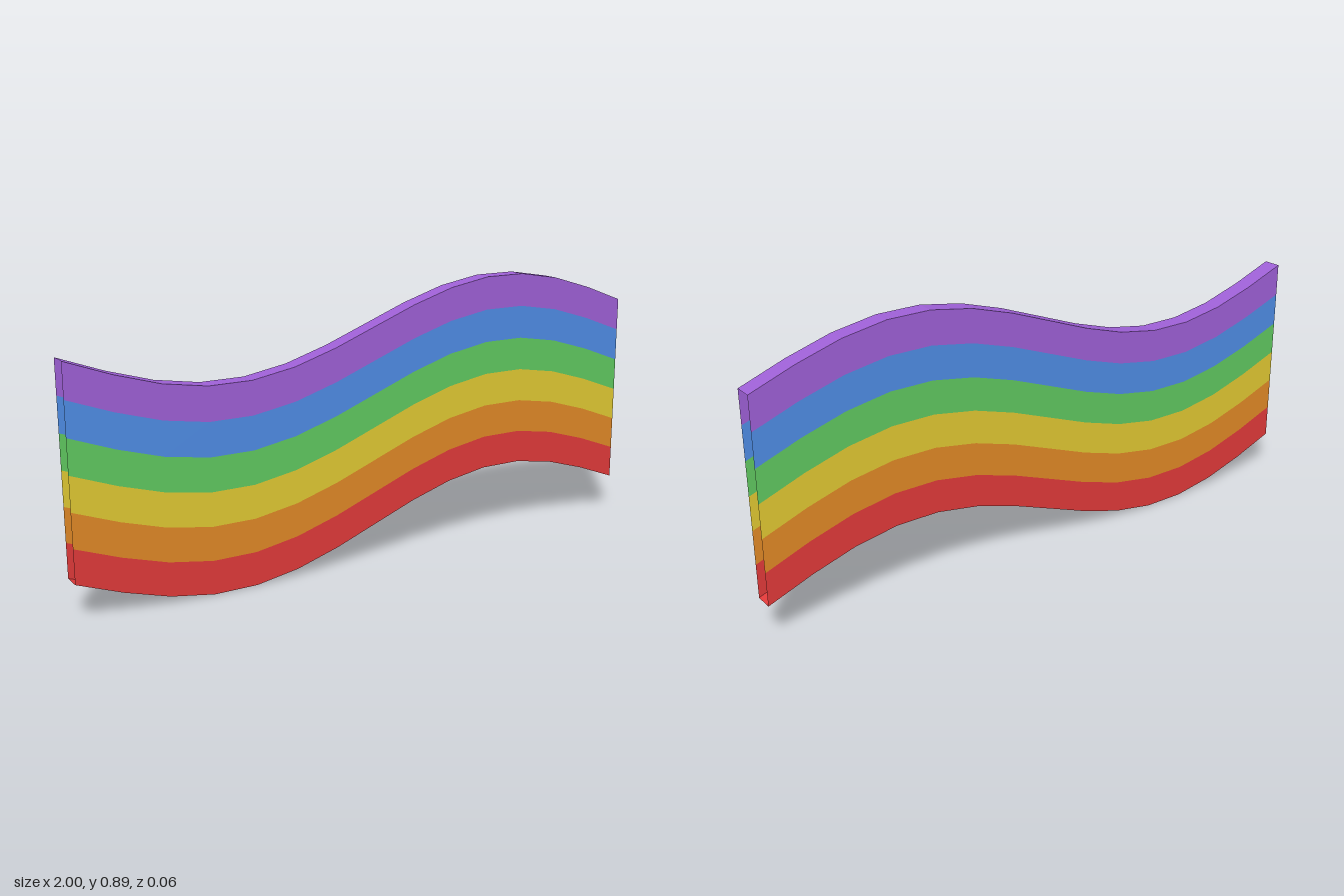
import * as THREE from 'three';

const SEGMENTS = 14, HALF_DEPTH = 0.03, BAND = 0.1075;
const AMPLITUDE = 0.124, BASE = 0.121;

// Height of the wave's lower edge at x
const wave = (x) => BASE + AMPLITUDE * Math.sin(Math.PI * x);

// Strip of flat facets between two rails; the first rail is the lower one seen from outside
function strip(railA, railB) {
  const positions = [];
  for (let i = 0; i < SEGMENTS; i++) {
    const x0 = -1 + (2 * i) / SEGMENTS, x1 = -1 + (2 * (i + 1)) / SEGMENTS;
    const a = railA(x0), b = railA(x1), c = railB(x1), d = railB(x0);
    positions.push(...a, ...b, ...c, ...a, ...c, ...d);
  }
  const geometry = new THREE.BufferGeometry();
  geometry.setAttribute('position', new THREE.Float32BufferAttribute(positions, 3));
  geometry.computeVertexNormals();
  return geometry;
}

export function createModel() {
  const group = new THREE.Group();
  group.name = 'wavyRainbow';
  const colours = [
    ['red', 0xe03a3a], ['orange', 0xe08826], ['yellow', 0xe0c832],
    ['green', 0x60c860], ['blue', 0x4e8ce4], ['purple', 0x9e60d6],
  ];
  const rail = (height, z) => (x) => [x, wave(x) + height, z];

  colours.forEach(([name, color], i) => {
    const material = new THREE.MeshStandardMaterial({ color, side: THREE.DoubleSide });
    material.name = name;
    const band = new THREE.Group();
    band.name = name + 'Band';
    const add = (part, railA, railB) => {
      const mesh = new THREE.Mesh(strip(railA, railB), material);
      mesh.name = name + part;
      band.add(mesh);
    };
    const low = i * BAND, high = low + BAND, d = HALF_DEPTH;

    // Front and back faces; the two ends of the ribbon stay open
    add('Front', rail(low, d), rail(high, d));
    add('Back', rail(high, -d), rail(low, -d));

    // Outer edges close the bottom and top of the ribbon
    if (i === 0) add('BottomEdge', rail(low, -d), rail(low, d));
    if (i === colours.length - 1) add('TopEdge', rail(high, d), rail(high, -d));
    group.add(band);
  });
  return group;
}
